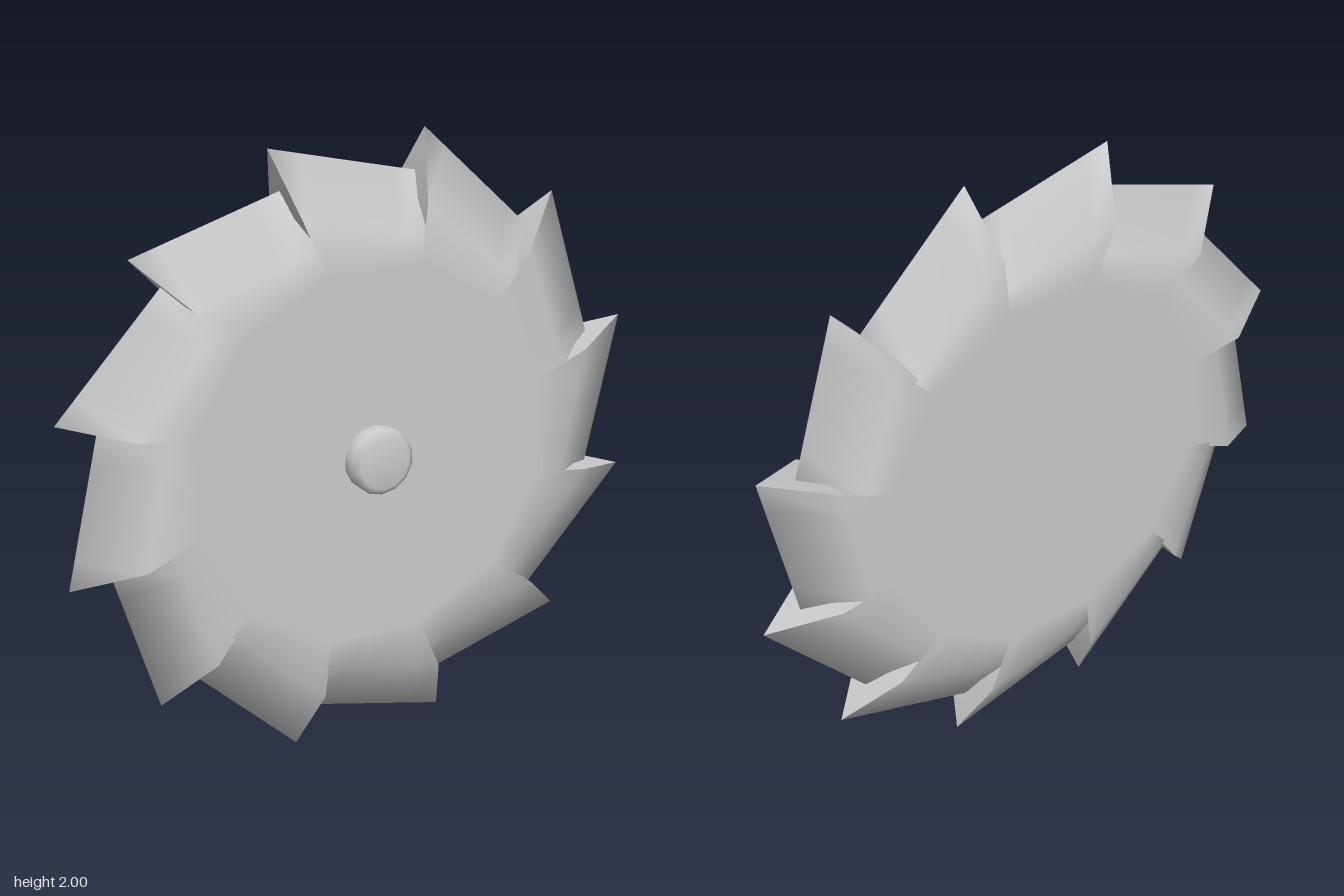
import * as THREE from 'three';

const TEETH = 12, PITCH = 30, SEGMENTS = 5;
const MID = -0.0325, HALF = 0.1175; // centre plane and half thickness of the blade
const INNER = 0.62, START = 77;     // flat disc radius and angle of the first tip

const polar = (r, deg, z) => {
  const a = THREE.MathUtils.degToRad(deg);
  return new THREE.Vector3(r * Math.cos(a), r * Math.sin(a), z);
};

function fromPoints(points, index) {
  const g = new THREE.BufferGeometry().setFromPoints(points);
  g.setIndex(index);
  g.computeVertexNormals();
  return g;
}

// Cross-section of a tooth, from the front disc over the ridge to the back disc
const section = (turn, shoulder, shoulderTurn, ridge) => [
  polar(INNER, 75.3 + turn, MID + HALF),
  polar(shoulder, shoulderTurn + turn, MID + HALF),
  polar(ridge, 77 + turn, MID),
  polar(shoulder, shoulderTurn + turn, MID - HALF),
  polar(INNER, 75.3 + turn, MID - HALF),
];

// Tapering back of the tooth, smooth over ridge and shoulders
function toothBody() {
  const head = section(0, 0.81, 77.2, 1.026);
  const tail = section(-PITCH, 0.714, 75.3, 0.89);
  const points = [], index = [];
  for (let i = 0; i <= SEGMENTS; i++)
    head.forEach((p, j) => points.push(p.clone().lerp(tail[j], i / SEGMENTS)));
  for (let i = 0; i < SEGMENTS; i++)
    for (let j = 0; j < 4; j++) {
      const a = i * 5 + j, b = a + 5;
      index.push(a, b, b + 1, a, b + 1, a + 1);
    }
  return fromPoints(points, index);
}

// Pointed cutting face at the head of the tooth
function toothFace() {
  const [, frontShoulder, tip, backShoulder] = section(0, 0.81, 77.2, 1.026);
  const points = [
    polar(0.714, 75.3, MID - HALF), polar(0.714, 75.3, MID + HALF),
    frontShoulder, tip, backShoulder,
  ];
  return fromPoints(points, [0, 1, 2, 0, 2, 4, 2, 3, 4]);
}

export function createModel() {
  const model = new THREE.Group();
  model.name = 'sawBlade';
  const material = new THREE.MeshStandardMaterial({ color: 0xcccccc });
  const add = (parent, geometry, name) => {
    const mesh = new THREE.Mesh(geometry, material);
    mesh.name = name;
    parent.add(mesh);
    return mesh;
  };

  const blade = new THREE.Group();
  blade.name = 'blade';
  blade.position.y = 1;
  model.add(blade);

  // Flat discs on both sides
  const start = THREE.MathUtils.degToRad(75.3);
  add(blade, new THREE.CircleGeometry(INNER, TEETH, start), 'frontDisc').position.z = MID + HALF;
  const back = add(blade, new THREE.CircleGeometry(INNER, TEETH, Math.PI - start), 'backDisc');
  back.rotation.y = Math.PI;
  back.position.z = MID - HALF;

  // Ring of swept teeth
  const body = toothBody(), face = toothFace();
  for (let i = 0; i < TEETH; i++) {
    const tooth = new THREE.Group();
    tooth.name = 'tooth' + (i + 1);
    tooth.rotation.z = THREE.MathUtils.degToRad(i * PITCH);
    add(tooth, body, 'toothBody');
    add(tooth, face, 'cuttingFace');
    blade.add(tooth);
  }

  // Rounded hub on the front
  const profile = [[0.108, 0], [0.108, 0.045], [0.085, 0.065], [0, 0.065]]
    .map(([x, y]) => new THREE.Vector2(x, y));
  const hub = add(blade, new THREE.LatheGeometry(profile, 14), 'hub');
  hub.rotation.x = Math.PI / 2;
  hub.position.z = MID + HALF;

  return model;
}
